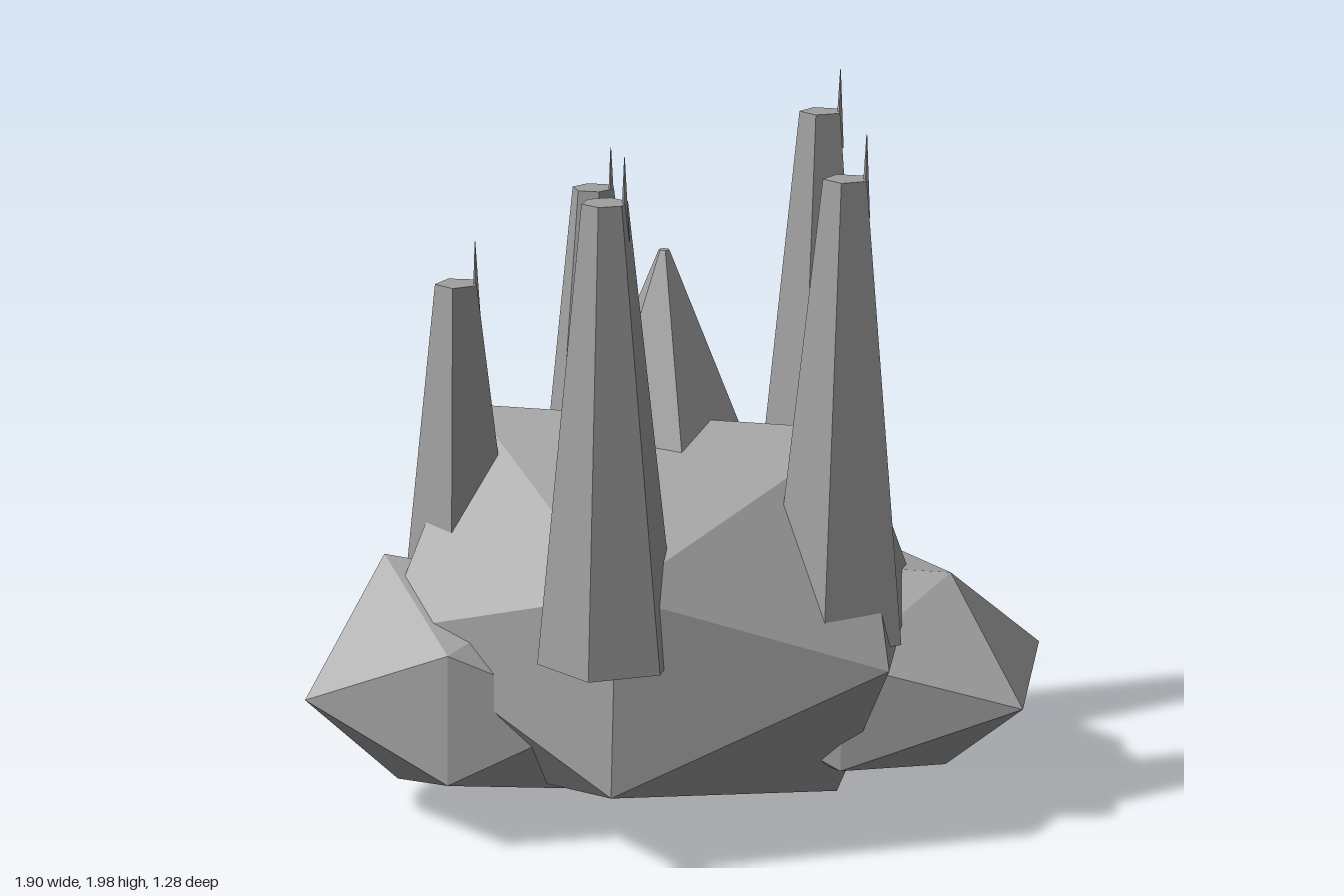
import * as THREE from 'three';

const stone = new THREE.MeshStandardMaterial({ color: 0xa0a0a0, flatShading: true });
stone.name = 'grey stone';

// Icosahedron faces over twelve named corners of a boulder
const FACES = [
  0, 11, 5, 0, 5, 1, 0, 1, 7, 0, 7, 10, 0, 10, 11, 1, 5, 9, 5, 11, 4, 11, 10, 2, 10, 7, 6, 7, 1, 8,
  3, 9, 4, 3, 4, 2, 3, 2, 6, 3, 6, 8, 3, 8, 9, 4, 9, 5, 2, 4, 11, 6, 2, 10, 8, 6, 7, 9, 8, 1,
];

// Rough boulder: corners are top pair, bottom pair, front low/high, back low/high, +x pair, -x pair
function boulder(name, corners) {
  const indexed = new THREE.BufferGeometry();
  indexed.setAttribute('position', new THREE.Float32BufferAttribute(corners.flat(), 3));
  indexed.setIndex(FACES);
  const geo = indexed.toNonIndexed();
  geo.computeVertexNormals();
  const mesh = new THREE.Mesh(geo, stone);
  mesh.name = name;
  return mesh;
}

// Tapered prism from y0 to y1; turn is the angle of one corner from +x towards +z
function taper(name, x, z, y0, y1, r0, r1, sides, turn) {
  const start = Math.PI / 2 - THREE.MathUtils.degToRad(turn);
  const geo = new THREE.CylinderGeometry(r1, r0, y1 - y0, sides, 1, false, start);
  const mesh = new THREE.Mesh(geo, stone);
  mesh.name = name;
  mesh.position.set(x, (y0 + y1) / 2, z);
  return mesh;
}

export function createModel() {
  const model = new THREE.Group();
  model.name = 'rockSpires';

  model.add(boulder('mainBoulder', [
    [-0.6, 1.085, -0.05], [0.47, 1.08, -0.05], [-0.56, 0, -0.05], [0.43, 0.03, -0.05],
    [-0.06, 0.235, 0.595], [-0.06, 0.77, 0.53], [-0.06, 0.25, -0.61], [-0.06, 0.8, -0.63],
    [0.59, 0.55, -0.35], [0.62, 0.535, 0.31], [-0.76, 0.55, -0.42], [-0.75, 0.55, 0.33],
  ]));
  model.add(boulder('leftBoulder', [
    [0.23, 0.63, -0.22], [0.71, 0.635, -0.22], [0.23, 0.07, -0.22], [0.71, 0.065, -0.22],
    [0.47, 0.175, 0.15], [0.47, 0.48, 0.14], [0.47, 0.16, -0.62], [0.47, 0.56, -0.645],
    [0.935, 0.35, -0.495], [0.947, 0.355, 0.05], [0.02, 0.35, -0.5], [0.02, 0.35, 0.05],
  ]));
  model.add(boulder('rightBoulder', [
    [-0.79, 0.715, 0.18], [-0.3, 0.66, 0.18], [-0.77, 0.055, 0.18], [-0.28, 0.07, 0.18],
    [-0.525, 0.195, 0.515], [-0.53, 0.545, 0.47], [-0.53, 0.2, -0.15], [-0.53, 0.54, -0.14],
    [-0.14, 0.38, -0.04], [-0.14, 0.38, 0.4], [-0.935, 0.365, -0.04], [-0.95, 0.365, 0.415],
  ]));

  // Central pointed peak
  model.add(taper('centralPeak', -0.08, -0.145, 0.88, 1.525, 0.29, 0.015, 6, 6));

  // Ring of spires, each with a needle at its +x rim: x, z, top, base radius, sides, turn
  const spires = [
    [-0.1, 0.45, 1.78, 0.19, 6, 32],
    [-0.355, -0.468, 1.615, 0.177, 6, 1],
    [0.297, -0.43, 1.865, 0.185, 5, 23],
    [0.458, 0.133, 1.8, 0.19, 5, 21],
    [-0.6, 0.067, 1.455, 0.167, 5, 14],
  ];
  spires.forEach(([x, z, top, r, sides, turn], i) => {
    const spire = new THREE.Group();
    spire.name = `spire${i + 1}`;
    spire.add(taper('shaft', x, z, 0.57, top, r, 0.06, sides, turn));
    spire.add(taper('needle', x + 0.05, z - 0.005, top - 0.1, top + 0.115, 0.012, 0.001, 4, 0));
    model.add(spire);
  });

  return model;
}
